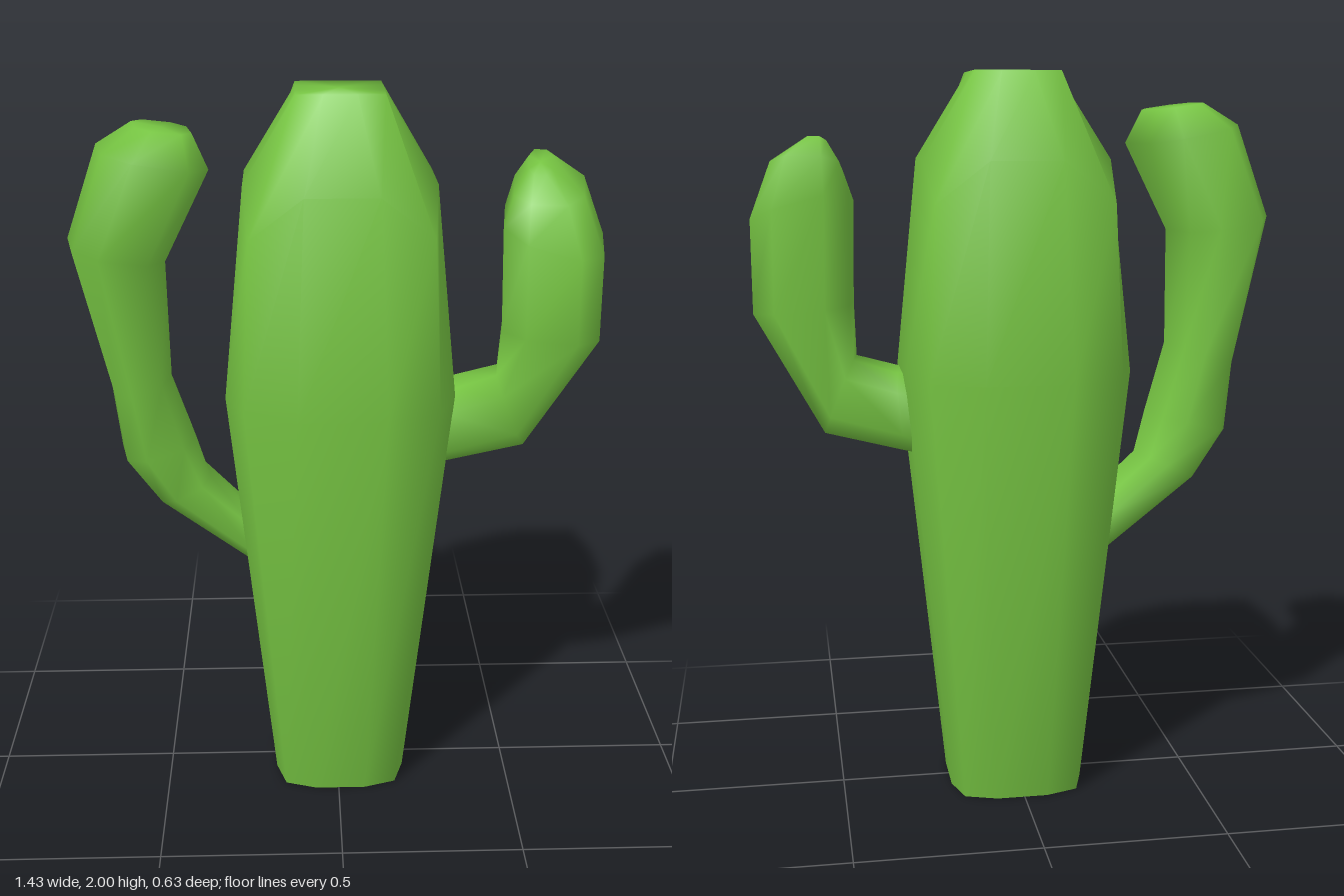
import * as THREE from 'three';

const material = new THREE.MeshStandardMaterial({ color: 0x76c442, roughness: 0.9 });

// Skins a list of rings (arrays of [x, y, z]) and closes both ends with a fan.
function loft(name, rings) {
  const n = rings[0].length;
  const positions = rings.flat(2);
  const index = [];
  for (let r = 0; r < rings.length - 1; r++) {
    for (let i = 0; i < n; i++) {
      const a = r * n + i, b = r * n + (i + 1) % n;
      index.push(a, a + n, b, b, a + n, b + n);
    }
  }
  const cap = (ring, start, flip) => {
    const centre = positions.length / 3;
    for (let k = 0; k < 3; k++) positions.push(ring.reduce((s, p) => s + p[k], 0) / n);
    for (let i = 0; i < n; i++) {
      const a = start + i, b = start + (i + 1) % n;
      index.push(centre, flip ? a : b, flip ? b : a);
    }
  };
  cap(rings[0], 0, true);
  cap(rings[rings.length - 1], (rings.length - 1) * n, false);
  const geometry = new THREE.BufferGeometry();
  geometry.setAttribute('position', new THREE.Float32BufferAttribute(positions, 3));
  geometry.setIndex(index);
  geometry.computeVertexNormals();
  const mesh = new THREE.Mesh(geometry, material);
  mesh.name = name;
  return mesh;
}

// Repeats the points of one quadrant around the four sides.
function fourfold(quadrant) {
  const out = [];
  let pts = quadrant;
  for (let q = 0; q < 4; q++) {
    out.push(...pts);
    pts = pts.map(([a, b]) => [-b, a]);
  }
  return out;
}

// Twelve-sided rounded square; its corner points may sit lower than the rest.
function trunkRing(y, half, corner, drop = 0) {
  const section = fourfold([[1, 0.38], [corner, corner], [0.38, 1]]);
  return section.map(([a, b], i) => [0.006 + a * half, y - (i % 3 === 1 ? drop : 0), b * half * 1.02]);
}

// Eight-sided arm section spanning two points in the xy plane, turned by yaw.
function armRing([x0, y0, x1, y1, z, depth, tilt = 0], yaw) {
  const ux = (x1 - x0) / 2, uy = (y1 - y0) / 2;
  return fourfold([[1, 0.5], [0.55, 1]]).map(([a, b]) => [
    (x0 + x1) / 2 + ux * a + yaw * depth * b,
    (y0 + y1) / 2 + uy * a + tilt * depth * b,
    z + depth * b - yaw * ux * a,
  ]);
}

export function createModel() {
  const group = new THREE.Group();
  group.name = 'cactus';

  // Trunk: widest above the middle, with a squared shoulder and flat tip
  group.add(loft('trunk', [
    trunkRing(0, 0.188, 0.85),
    trunkRing(1.2, 0.309, 0.83),
    trunkRing(1.77, 0.252, 0.94, 0.11),
    trunkRing(2, 0.114, 1),
  ]));

  // Short arm: x, y of the inner side, x, y of the outer side, z, half depth, tilt
  group.add(loft('leftArm', [
    [0.18, 1.18, 0.18, 0.96, 0.0, 0.12],
    [0.32, 1.2, 0.3, 0.985, 0.005, 0.115],
    [0.44, 1.235, 0.52, 1.035, 0.015, 0.09],
    [0.445, 1.38, 0.7, 1.36, 0.062, 0.13],
    [0.44, 1.67, 0.7, 1.6, 0.052, 0.133, -0.2],
    [0.465, 1.75, 0.645, 1.75, 0.03, 0.1, -0.3],
    [0.5, 1.81, 0.56, 1.81, 0.02, 0.06, -0.35],
  ].map((r) => armRing(r, -0.15))));

  // Tall arm: outer side first, then inner side
  group.add(loft('rightArm', [
    [-0.14, 0.62, -0.14, 0.78, 0, 0.08],
    [-0.25, 0.68, -0.25, 0.83, 0, 0.09],
    [-0.5, 0.875, -0.365, 0.94, 0, 0.1],
    [-0.59, 1.01, -0.4, 1.06, 0.01, 0.115],
    [-0.61, 1.2, -0.46, 1.25, 0.025, 0.12],
    [-0.7, 1.61, -0.465, 1.57, 0.04, 0.145],
    [-0.61, 1.86, -0.345, 1.81, 0.045, 0.15],
    [-0.52, 1.92, -0.38, 1.9, 0.045, 0.09],
  ].map((r) => armRing(r, 0.2))));

  return group;
}
